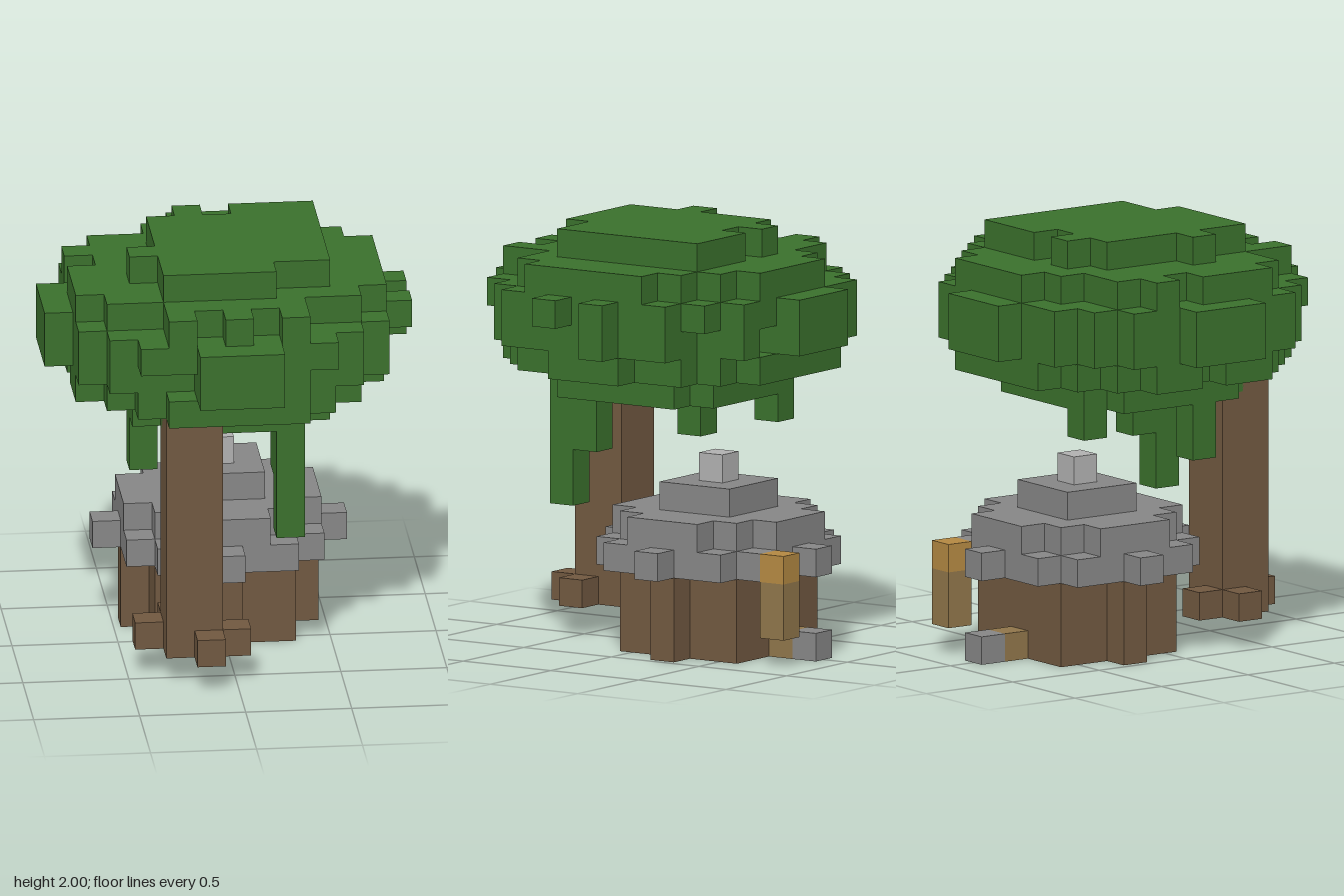
import * as THREE from 'three';
import { mergeGeometries } from 'three/addons/utils/BufferGeometryUtils.js';

const V = 2 / 15; // edge of one cube

const mat = (name, color) => {
  const m = new THREE.MeshStandardMaterial({ color });
  m.name = name;
  return m;
};

// Box covering whole cells, from the first to the last one on each axis
function cells(x0, x1, y0, y1, z0, z1) {
  const g = new THREE.BoxGeometry((x1 - x0 + 1) * V, (y1 - y0 + 1) * V, (z1 - z0 + 1) * V);
  return g.translate(((x0 + x1) / 2) * V, ((y0 + y1 + 1) / 2) * V, ((z0 + z1) / 2) * V);
}

// One flat layer of cells: every row is split into runs of filled cells
function layer(y0, y1, zMid, filled) {
  const out = [];
  for (let z = -6; z <= 6; z++) {
    let start = null;
    for (let x = -6; x <= 7; x++) {
      const on = x <= 6 && filled(x, z);
      if (on && start === null) start = x;
      if (!on && start !== null) {
        out.push(cells(start, x - 1, y0, y1, z + zMid, z + zMid));
        start = null;
      }
    }
  }
  return out;
}

const disc = (r2) => (x, z) => x * x + z * z <= r2;

// Disc with some rim cells left out, in a repeatable pattern
function raggedDisc(r2, seed, amount) {
  return (x, z) => {
    const d = x * x + z * z;
    if (d > r2) return false;
    if (d < r2 - 8) return true;
    const h = Math.sin(x * 12.99 + z * 78.23 + seed * 37.7) * 43758.5;
    return h - Math.floor(h) > amount;
  };
}

export function createModel() {
  const model = new THREE.Group();
  model.name = 'treeHouse';

  const leaf = mat('leaf green', 0x3a702c);
  const bark = mat('bark brown', 0x705840);
  const slate = mat('slate grey', 0x868686);
  const paleStone = mat('pale stone', 0xb0b0b0);
  const amber = mat('amber', 0xb38842);
  const tan = mat('tan wood', 0x8f754a);

  const add = (name, material, parts) => {
    const mesh = new THREE.Mesh(mergeGeometries(parts), material);
    mesh.name = name;
    model.add(mesh);
  };

  // Round hut, open at the back where the doorstep lies
  add('hutWall', bark, layer(0, 2, -2, (x, z) => disc(9)(x, z) && z > -3));
  add('doorstep', tan, [cells(0, 0, 0, 0, -5, -5)]);
  add('steppingStone', slate, [cells(0, 0, 0, 0, -6, -6)]);

  // Stepped roof with a chimney cap
  add('roof', slate, [
    ...layer(3, 3, -2, disc(16)),
    ...layer(4, 4, -2, disc(12)),
    ...layer(5, 5, -2, disc(2)),
  ]);
  add('roofCap', paleStone, [cells(0, 0, 6, 6, -2, -2)]);

  // Lantern hanging beside the door
  add('lanternBody', tan, [cells(2, 2, 1, 2, -6, -6)]);
  add('lanternTop', amber, [cells(2, 2, 3, 3, -6, -6)]);

  // Trunk and roots
  add('trunk', bark, [cells(-2, -1, 1, 9, 3, 4)]);
  add('roots', bark, [[-1, 5], [0, 4], [-3, 3], [-2, 2]].map(([x, z]) => cells(x, x, 1, 1, z, z)));

  // Crown: stacked discs, widest in the middle
  const topRows = {
    '-3': [-1, 3], '-2': [-2, 3], '-1': [-2, 3], 0: [-2, 3], 1: [-3, 3], 2: [-2, 3], 3: [-2, 1],
  };
  const topFilled = (x, z) => {
    const row = topRows[z];
    return !!row && x >= row[0] && x <= row[1] && !(z === -3 && x === 0);
  };
  const wide = (x, z) => disc(37)(x, z) && !(x === 6 && z === 0);
  add('crown', leaf, [
    ...layer(9, 9, 0, disc(13)),
    ...layer(10, 10, 0, raggedDisc(29, 1, 0.25)),
    ...layer(11, 11, 0, (x, z) => wide(x, z) && raggedDisc(37, 2, 0.25)(x, z)),
    ...layer(12, 12, 0, wide),
    ...layer(13, 13, 0, raggedDisc(29, 3, 0.15)),
    ...layer(14, 14, 0, topFilled),
  ]);

  // Vines hanging below the crown
  add('vines', leaf, [
    cells(2, 2, 5, 9, 3, 3),
    cells(2, 2, 7, 8, 2, 2),
    cells(-3, -3, 7, 8, 1, 1),
    cells(-2, -2, 8, 8, -3, -3),
  ]);

  return model;
}
